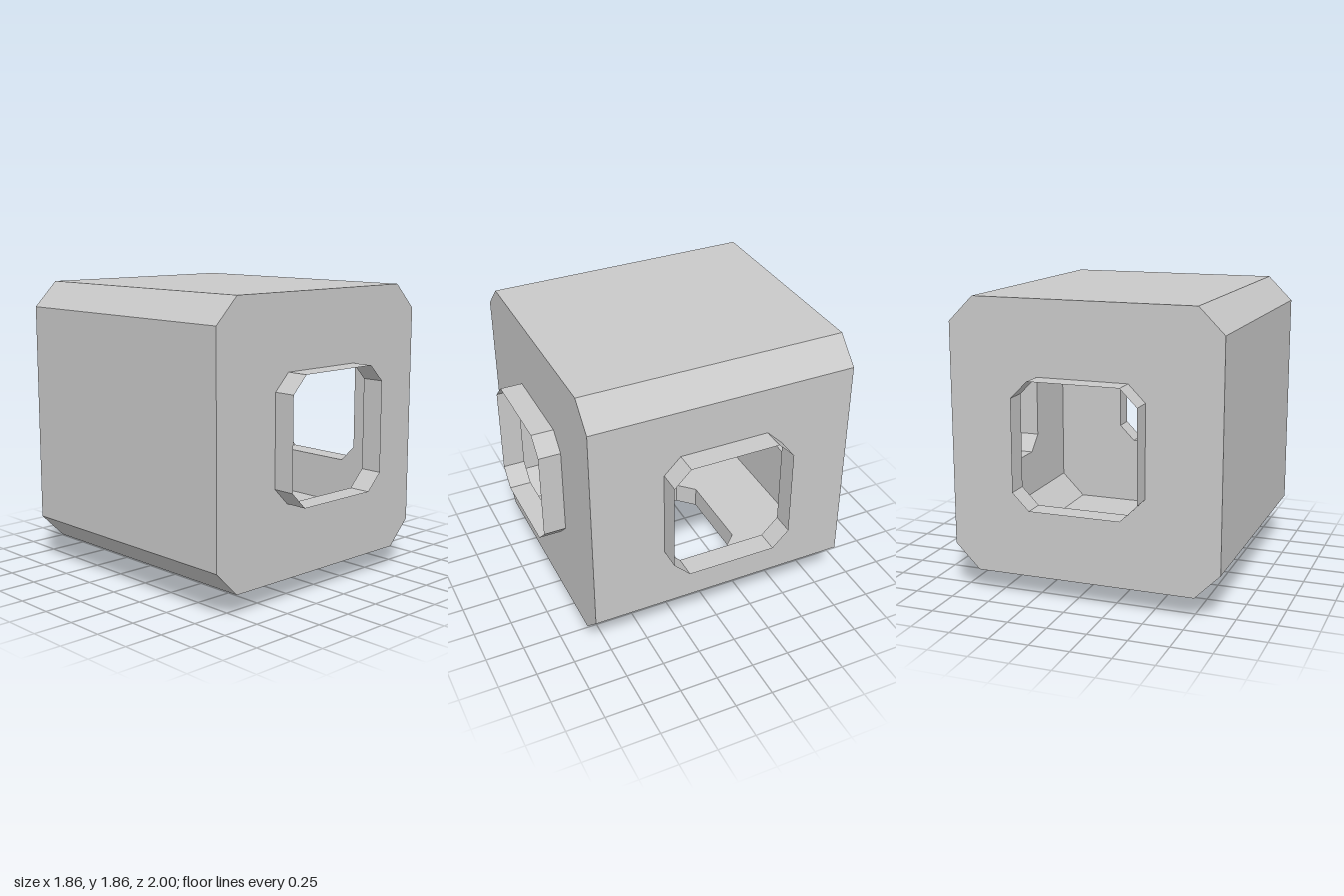
import * as THREE from 'three';

const HALF = 0.8575;      // half the body size
const CUT = 0.158;        // body corner chamfer
const FLAT = 2 * (HALF - CUT);
const PORT = 0.393;       // half the opening size
const PORT_CUT = 0.106;
const COLLAR = 0.1425;    // collar projection

// Corners of a w x h rectangle with chamfers of size c, counter-clockwise
function outline(w, h, c) {
  const x = w / 2, y = h / 2;
  const pts = [[x, -y + c], [x, y - c], [x - c, y], [-x + c, y],
    [-x, y - c], [-x, -y + c], [-x + c, -y], [x - c, -y]];
  return pts.map(([a, b]) => new THREE.Vector2(a, b));
}

// Rectangular profile without chamfers
function rectangle(w, h) {
  const x = w / 2, y = h / 2;
  return [[x, -y], [x, y], [-x, y], [-x, -y]].map(([a, b]) => new THREE.Vector2(a, b));
}

// Open sleeve joining one outline at z0 to the same outline at z1
function sleeve(pts, z0, z1) {
  const pos = [];
  pts.forEach((a, i) => {
    const b = pts[(i + 1) % pts.length];
    pos.push(a.x, a.y, z0, b.x, b.y, z0, b.x, b.y, z1);
    pos.push(a.x, a.y, z0, b.x, b.y, z1, a.x, a.y, z1);
  });
  const g = new THREE.BufferGeometry();
  g.setAttribute('position', new THREE.Float32BufferAttribute(pos, 3));
  g.computeVertexNormals();
  return g;
}

export function createModel() {
  const model = new THREE.Group();
  model.name = 'hollowJunctionBox';
  const grey = new THREE.MeshStandardMaterial({ color: 0xc8c8c8, side: THREE.DoubleSide });
  grey.name = 'grey';

  const body = new THREE.Group();
  body.name = 'body';
  body.position.set(-0.0715, 1, 0);
  model.add(body);

  const portOutline = outline(2 * PORT, 2 * PORT, PORT_CUT);
  const collarGeometry = sleeve(portOutline, HALF, HALF + COLLAR);

  // One wall, built facing +z and turned into place, with an optional opening and collar
  function addWall(name, profile, rx, ry, open) {
    const side = new THREE.Group();
    side.name = name;
    side.rotation.set(rx, ry, 0);
    const shape = new THREE.Shape(profile);
    if (open) shape.holes.push(new THREE.Path(portOutline));
    const wall = new THREE.Mesh(new THREE.ShapeGeometry(shape), grey);
    wall.name = name + 'Panel';
    wall.position.z = HALF;
    side.add(wall);
    if (open) {
      const collar = new THREE.Mesh(collarGeometry, grey);
      collar.name = name + 'Collar';
      side.add(collar);
    }
    body.add(side);
  }

  const q = Math.PI / 2;
  const end = outline(2 * HALF, 2 * HALF, CUT);
  const upright = rectangle(2 * HALF, FLAT);
  const level = rectangle(FLAT, 2 * HALF);
  addWall('front', end, 0, 0, true);
  addWall('back', end, 0, 2 * q, true);
  addWall('left', upright, 0, q, true);
  addWall('right', upright, 0, -q, false);
  addWall('top', level, -q, 0, false);
  addWall('bottom', level, q, 0, true);

  // Four chamfer strips running front to back
  const stripGeometry = new THREE.PlaneGeometry(2 * HALF, CUT * Math.SQRT2);
  stripGeometry.rotateY(q);
  stripGeometry.translate((HALF - CUT / 2) * Math.SQRT2, 0, 0);
  for (let i = 0; i < 4; i++) {
    const strip = new THREE.Mesh(stripGeometry, grey);
    strip.name = 'cornerChamfer' + (i + 1);
    strip.rotation.z = Math.PI / 4 + i * q;
    body.add(strip);
  }
  return model;
}
